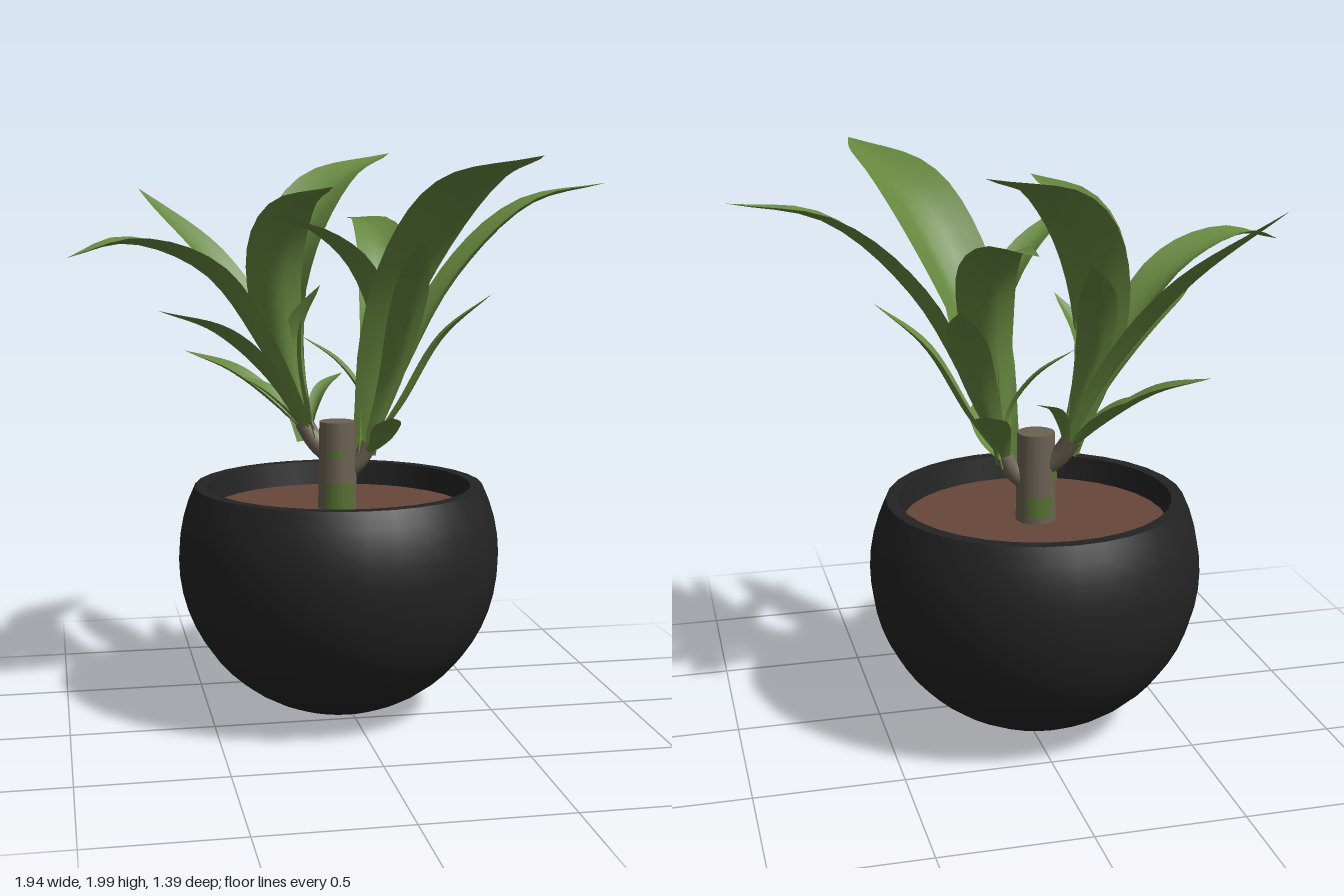
import * as THREE from 'three';

const V = (x, y, z) => new THREE.Vector3(x, y, z);

function material(name, color, side = THREE.FrontSide) {
  const m = new THREE.MeshStandardMaterial({ color, side });
  m.name = name;
  return m;
}

// Arching blade: widens to two thirds of its length, then narrows to a point.
function leafGeometry(points, width) {
  const curve = new THREE.CatmullRomCurve3(points.map(p => V(...p)));
  const rows = 18, cols = 6, pos = [], index = [];
  const heading = V(...points[points.length - 1]).sub(V(...points[0])).setY(0).normalize();
  const across = heading.cross(V(0, 1, 0));
  for (let i = 0; i <= rows; i++) {
    const t = i / rows;
    const c = curve.getPointAt(t), tan = curve.getTangentAt(t);
    const side = across.clone().addScaledVector(tan, -across.dot(tan)).normalize();
    const normal = side.clone().cross(tan);
    const shape = t < 0.62
      ? 0.3 + 0.7 * Math.sin(Math.PI / 2 * t / 0.62) ** 1.5
      : Math.max(0, Math.cos(Math.PI / 2 * (t - 0.62) / 0.38)) ** 0.9;
    const half = width / 2 * shape;
    const fold = 0.75 - 0.55 * t; // deeper channel near the stem
    for (let j = 0; j <= cols; j++) {
      const v = j / cols * 2 - 1;
      const p = c.clone().addScaledVector(side, v * half)
        .addScaledVector(normal, Math.abs(v) ** 1.4 * half * fold);
      pos.push(p.x, p.y, p.z);
    }
  }
  const n = cols + 1;
  for (let i = 0; i < rows; i++) for (let j = 0; j < cols; j++) {
    const a = i * n + j;
    index.push(a, a + 1, a + n, a + 1, a + n + 1, a + n);
  }
  const g = new THREE.BufferGeometry();
  g.setAttribute('position', new THREE.Float32BufferAttribute(pos, 3));
  g.setIndex(index);
  g.computeVertexNormals();
  return g;
}

export function createModel() {
  const root = new THREE.Group();
  root.name = 'pottedPlant';
  const black = material('potBlack', 0x232324);
  const brown = material('soilBrown', 0x67463a);
  const bark = material('barkGrey', 0x6b6152);
  const moss = material('mossGreen', 0x567032);
  const green = material('leafGreen', 0x66873f, THREE.DoubleSide);
  const add = (parent, name, geo, mat, x = 0, y = 0, z = 0) => {
    const m = new THREE.Mesh(geo, mat);
    m.name = name;
    m.position.set(x, y, z);
    parent.add(m);
    return m;
  };
  const CX = -0.035, CZ = -0.135;

  // Pot: cut sphere with a flat rim and an inner wall
  const R = 0.57, outer = [];
  const end = Math.PI / 2 + Math.asin(0.255 / R);
  for (let i = 0; i <= 18; i++) {
    const a = end * i / 18;
    outer.push(new THREE.Vector2(R * Math.sin(a), R - R * Math.cos(a)));
  }
  const pot = new THREE.Group();
  pot.name = 'pot';
  root.add(pot);
  const lathe = pts => new THREE.LatheGeometry(pts, 32);
  const P = (x, y) => new THREE.Vector2(x, y);
  add(pot, 'potBowl', lathe(outer), black, CX, 0, CZ);
  add(pot, 'potRim', lathe([P(0.51, 0.825), P(0.468, 0.825)]), black, CX, 0, CZ);
  add(pot, 'potInnerWall', lathe([P(0.468, 0.825), P(0.455, 0.735)]), black, CX, 0, CZ);
  add(root, 'soil', new THREE.CircleGeometry(0.458, 32).rotateX(-Math.PI / 2), brown, CX, 0.74, CZ);

  // Trunk stump, with moss patches and two side shoots
  const trunk = new THREE.Group();
  trunk.name = 'trunk';
  root.add(trunk);
  add(trunk, 'stump', new THREE.CylinderGeometry(0.064, 0.07, 0.33, 20), bark, -0.04, 0.885, -0.13);
  for (const [y, h, a, w] of [[0.79, 0.09, -0.8, 1.5], [0.94, 0.03, -0.6, 0.7], [0.8, 0.07, 2.4, 1.4], [0.9, 0.04, 3.8, 0.9]])
    add(trunk, 'mossPatch', new THREE.CylinderGeometry(0.071, 0.072, h, 8, 1, true, a, w), moss, -0.04, y, -0.13);
  const shoot = (name, pts, r) => add(trunk, name,
    new THREE.TubeGeometry(new THREE.CatmullRomCurve3(pts.map(p => V(...p))), 8, r, 10), bark);
  shoot('leftShoot', [[-0.02, 0.86, -0.13], [0.035, 0.91, -0.12], [0.07, 0.97, -0.11]], 0.032);
  shoot('rightShoot', [[-0.06, 0.92, -0.14], [-0.11, 0.97, -0.17], [-0.15, 1.04, -0.2]], 0.034);

  // Leaves: [width, points after the base]
  const clusters = {
    leftLeaf: { base: [0.06, 0.93, -0.11], leaves: [
      [0.17, [0.19, 1.2, -0.11], [0.38, 1.54, -0.13], [0.66, 1.8, -0.18], [0.97, 1.88, -0.24]],
      [0.3, [0.13, 1.3, -0.06], [0.23, 1.6, 0.06], [0.34, 1.85, 0.3], [0.45, 1.965, 0.69]],
      [0.13, [0.14, 1.2, -0.03], [0.165, 1.45, 0.12], [0.155, 1.61, 0.27], [0.14, 1.7, 0.4]],
      [0.12, [0.1, 1.35, -0.08], [0.02, 1.57, -0.02], [-0.12, 1.7, 0.08], [-0.3, 1.78, 0.2]],
      [0.2, [0.13, 1.4, -0.17], [0.16, 1.62, -0.3], [0.14, 1.73, -0.46], [0.09, 1.75, -0.65]],
      [0.14, [0.17, 1.2, -0.19], [0.25, 1.42, -0.33], [0.3, 1.56, -0.5]],
      [0.1, [0.19, 1.11, -0.09], [0.33, 1.35, -0.06], [0.49, 1.5, -0.02]],
      [0.1, [0.09, 0.97, -0.02], [0.1, 1.04, 0.07], [0.09, 1.1, 0.17]],
      [0.06, [0.05, 1.12, -0.13], [-0.03, 1.25, -0.16], [-0.16, 1.35, -0.2]],
      [0.11, [0.11, 1.04, -0.2], [0.16, 1.13, -0.31], [0.2, 1.2, -0.43]],
    ] },
    rightLeaf: { base: [-0.13, 0.98, -0.18], leaves: [
      [0.25, [-0.2, 1.35, -0.25], [-0.15, 1.65, -0.34], [0.0, 1.87, -0.48], [0.26, 1.99, -0.68]],
      [0.18, [-0.26, 1.28, -0.29], [-0.46, 1.6, -0.46], [-0.69, 1.86, -0.68]],
      [0.2, [-0.29, 1.28, -0.19], [-0.5, 1.57, -0.14], [-0.76, 1.68, -0.05], [-0.97, 1.64, 0.06]],
      [0.13, [-0.3, 1.22, -0.12], [-0.48, 1.38, -0.01], [-0.68, 1.47, 0.15]],
      [0.2, [-0.23, 1.35, -0.16], [-0.26, 1.62, -0.07], [-0.22, 1.79, 0.07], [-0.12, 1.87, 0.26]],
      [0.13, [-0.19, 1.3, -0.28], [-0.16, 1.54, -0.44], [-0.08, 1.71, -0.63]],
      [0.11, [-0.25, 1.1, -0.25], [-0.39, 1.21, -0.33], [-0.55, 1.28, -0.43]],
      [0.09, [-0.19, 1.25, -0.19], [-0.17, 1.4, -0.17], [-0.1, 1.53, -0.13]],
      [0.1, [-0.21, 1.08, -0.22], [-0.3, 1.16, -0.27], [-0.38, 1.2, -0.32]],
      [0.06, [-0.11, 1.07, -0.22], [-0.07, 1.15, -0.26], [0.01, 1.2, -0.32]],
    ] },
  };
  for (const [name, { base, leaves }] of Object.entries(clusters)) {
    const cluster = new THREE.Group();
    cluster.name = name + 'Cluster';
    root.add(cluster);
    for (const [width, ...points] of leaves)
      add(cluster, name, leafGeometry([base, ...points], width), green);
  }
  return root;
}
